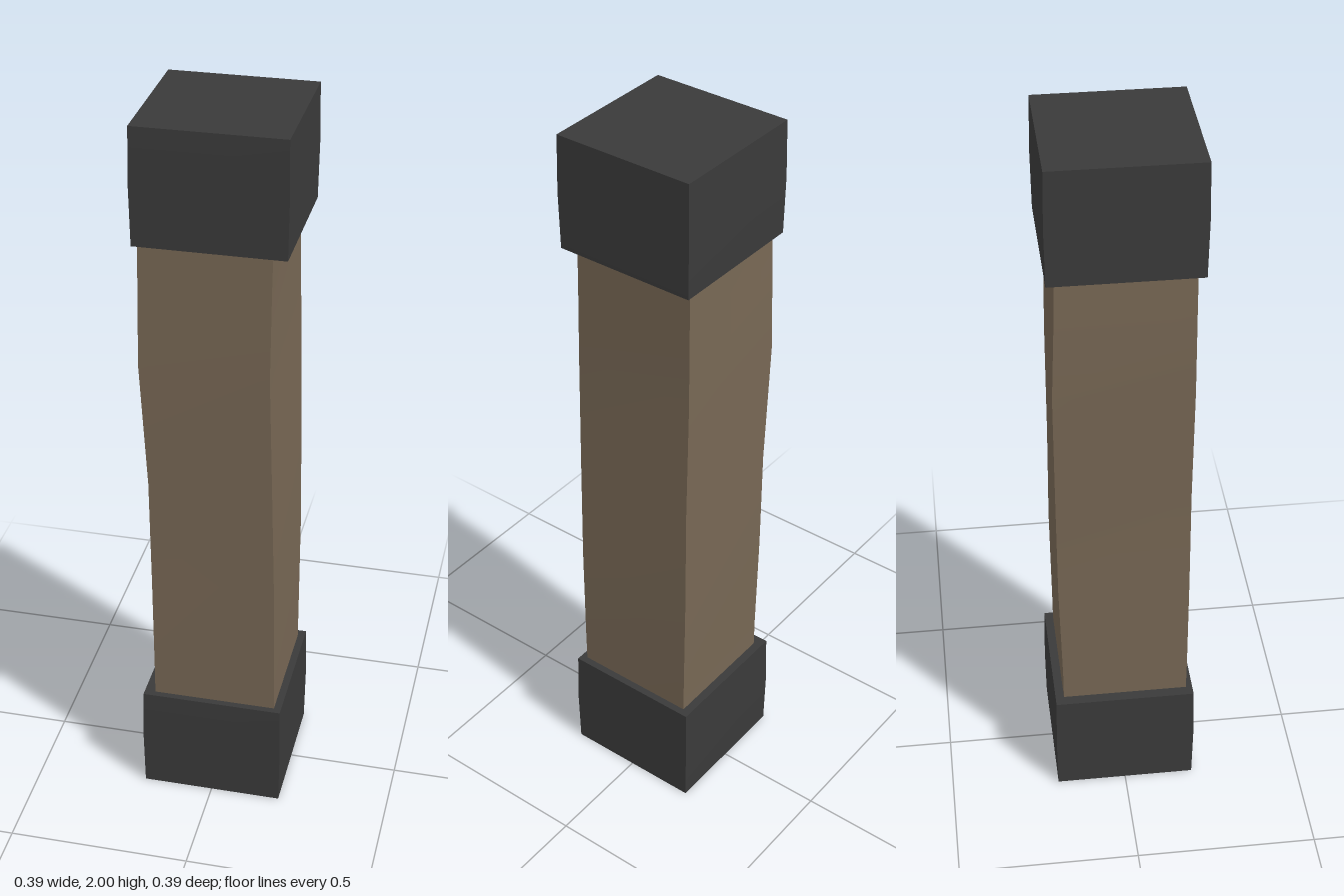
import * as THREE from 'three';

// Beam cross-sections: y, left edge x, right edge x, back z, front z, twist
const SECTIONS = [
  [0.15, -0.165, 0.175, -0.17, 0.175, 0],
  [0.4, -0.165, 0.175, -0.172, 0.178, 0],
  [0.7, -0.165, 0.173, -0.178, 0.18, 0.002],
  [1.0, -0.167, 0.167, -0.178, 0.18, 0.004],
  [1.35, -0.185, 0.158, -0.18, 0.181, 0.005],
  [1.6, -0.184, 0.156, -0.174, 0.177, 0.002],
  [1.85, -0.18, 0.158, -0.17, 0.175, 0],
];

// Box whose rows of corners follow the cross-sections
function makeBeam(material) {
  const rows = SECTIONS.length - 1;
  const geometry = new THREE.BoxGeometry(2, rows, 2, 1, rows, 1);
  const p = geometry.attributes.position;
  for (let i = 0; i < p.count; i++) {
    const [y, x0, x1, z0, z1, twist] = SECTIONS[Math.round(p.getY(i) + rows / 2)];
    const sx = Math.sign(p.getX(i));
    const sz = Math.sign(p.getZ(i));
    p.setXYZ(i, (sx < 0 ? x0 : x1) - sz * twist, y, (sz < 0 ? z0 : z1) + sx * twist);
  }
  geometry.computeVertexNormals();
  const mesh = new THREE.Mesh(geometry, material);
  mesh.name = 'woodenBeam';
  return mesh;
}

// Block cap with a very slight bulge at mid height
function makeCap(name, y, material) {
  const geometry = new THREE.BoxGeometry(0.39, 0.31, 0.39, 1, 2, 1);
  const p = geometry.attributes.position;
  for (let i = 0; i < p.count; i++) {
    if (Math.abs(p.getY(i)) < 0.01) {
      p.setX(i, p.getX(i) * 1.012);
      p.setZ(i, p.getZ(i) * 1.012);
    }
  }
  geometry.computeVertexNormals();
  const mesh = new THREE.Mesh(geometry, material);
  mesh.name = name;
  mesh.position.y = y;
  return mesh;
}

export function createModel() {
  const wood = new THREE.MeshStandardMaterial({ color: 0x776754 });
  const metal = new THREE.MeshStandardMaterial({ color: 0x3a3a3a });
  const group = new THREE.Group();
  group.name = 'pillar';
  group.add(
    makeBeam(wood),
    makeCap('bottomCap', 0.155, metal),
    makeCap('topCap', 1.845, metal),
  );
  return group;
}
